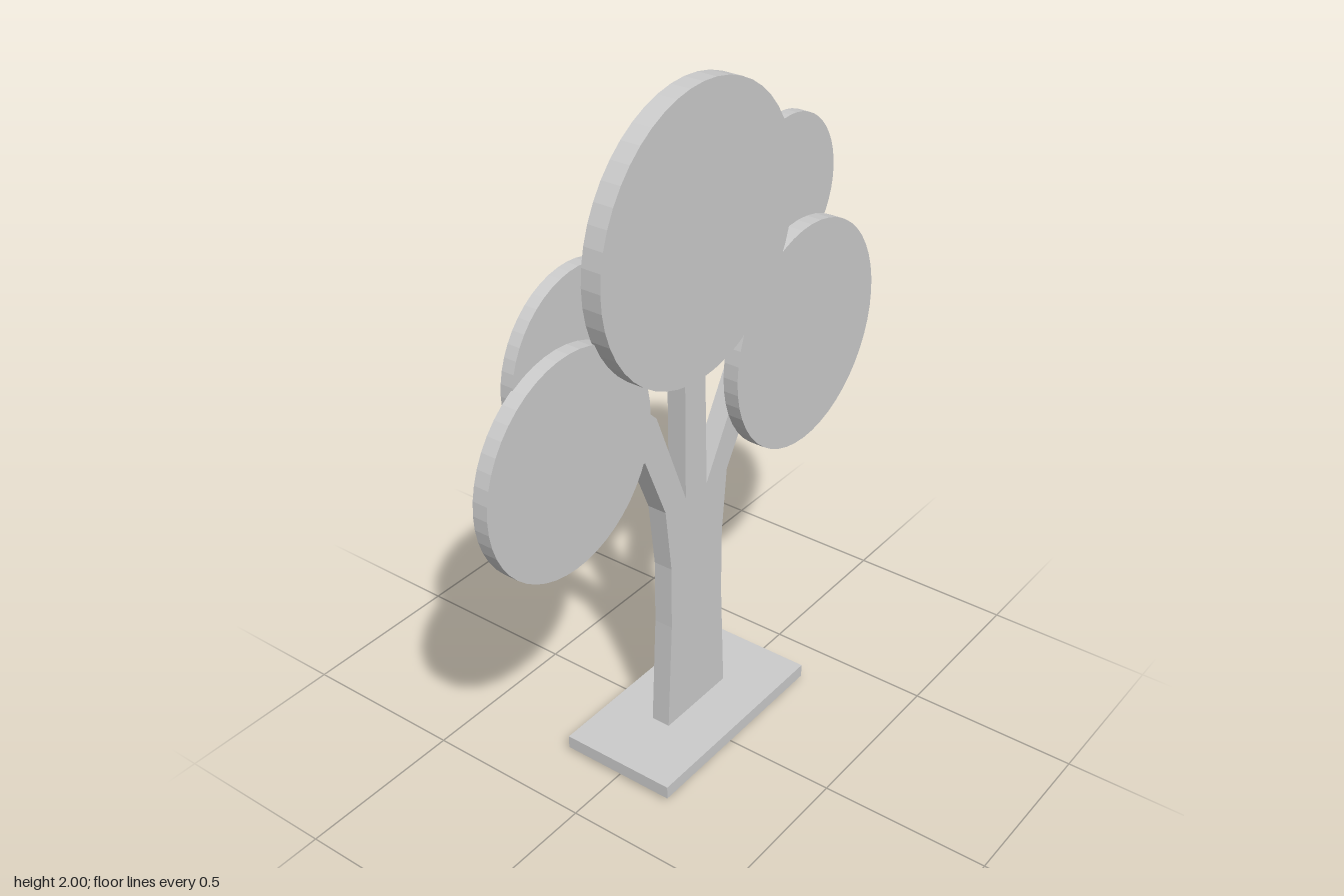
import * as THREE from 'three';

const material = new THREE.MeshStandardMaterial({ color: 0xcccccc, flatShading: true });

function addPart(group, name, geometry) {
  const mesh = new THREE.Mesh(geometry, material);
  mesh.name = name;
  group.add(mesh);
  return mesh;
}

// Flat round leaf panel facing sideways, spanning x0..x1
function addFoliage(group, name, z, y, radius, x0, x1) {
  const geometry = new THREE.CylinderGeometry(radius, radius, x1 - x0, 48);
  geometry.rotateZ(Math.PI / 2);
  addPart(group, name, geometry).position.set((x0 + x1) / 2, y, z);
}

export function createModel() {
  const group = new THREE.Group();
  group.name = 'flatTree';

  // Base plate, with the trunk foot passing through it
  addPart(group, 'base', new THREE.BoxGeometry(0.355, 0.04, 0.67)).position.set(0, 0.035, -0.02);

  // Trunk and branches as one cut-out board, outline as [z, y]
  const outline = [
    // front edge of trunk and front branch
    [0.11, 0], [0.09, 0.4], [0.09, 0.6], [0.115, 0.8], [0.2, 1.0],
    [0.5, 1.01], [0.5, 1.06], [0.24, 1.08],
    [0.28, 1.2], [0.3, 1.4], [0.25, 1.4], [0.2, 1.16], [0.15, 1.11],
    // middle stem with its small fork
    [0.025, 0.8], [0.03, 1.4], [0.06, 1.6], [0.01, 1.6], [-0.02, 1.46],
    [-0.13, 1.55], [-0.17, 1.5], [-0.055, 1.38], [-0.07, 0.8],
    // rear branch and rear edge of trunk
    [-0.225, 1.07], [-0.27, 1.15], [-0.33, 1.4], [-0.39, 1.4], [-0.38, 1.17],
    [-0.62, 1.2], [-0.62, 1.15], [-0.33, 1.07],
    [-0.165, 0.8], [-0.145, 0.6], [-0.145, 0.4], [-0.165, 0],
  ];
  const shape = new THREE.Shape(outline.map(([z, y]) => new THREE.Vector2(-z, y)));
  const board = new THREE.ExtrudeGeometry(shape, { depth: 0.058, bevelEnabled: false });
  board.rotateY(Math.PI / 2);
  addPart(group, 'trunkAndBranches', board).position.x = -0.034;

  // Foliage panels
  addFoliage(group, 'topFoliage', 0.05, 1.604, 0.396, 0.037, 0.095);
  addFoliage(group, 'frontLowerFoliage', 0.505, 1.155, 0.305, 0, 0.044);
  addFoliage(group, 'rearLowerFoliage', -0.472, 1.105, 0.337, 0.03, 0.076);
  addFoliage(group, 'frontUpperFoliage', 0.413, 1.393, 0.247, -0.032, 0.004);
  addFoliage(group, 'rearUpperFoliage', -0.46, 1.515, 0.225, -0.032, 0.004);

  return group;
}
